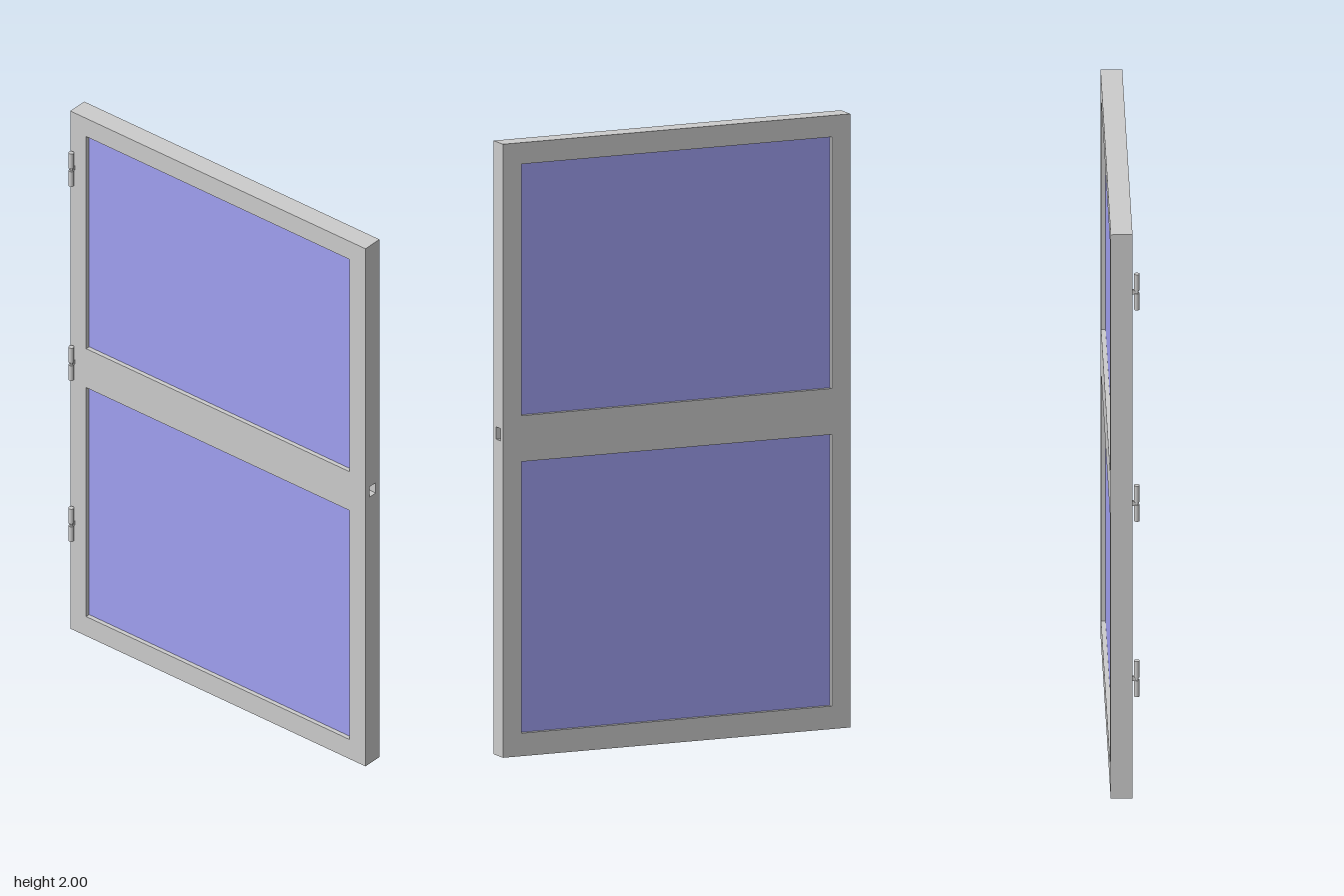
import * as THREE from 'three';

const X0 = -0.025, X1 = 0.045, Z = 0.616, H = 2;

export function createModel() {
  const door = new THREE.Group();
  door.name = 'door';
  const grey = new THREE.MeshStandardMaterial({ color: 0xcccccc });
  const blue = new THREE.MeshStandardMaterial({ color: 0xa0a0f2 });

  const add = (parent, name, geometry, material = grey) => {
    const mesh = new THREE.Mesh(geometry, material);
    mesh.name = name;
    parent.add(mesh);
    return mesh;
  };
  // Box given by its minimum and maximum on each axis
  const box = (parent, name, [x0, x1], [y0, y1], [z0, z1], material) => {
    const mesh = add(parent, name, new THREE.BoxGeometry(x1 - x0, y1 - y0, z1 - z0), material);
    mesh.position.set((x0 + x1) / 2, (y0 + y1) / 2, (z0 + z1) / 2);
    return mesh;
  };
  const rectangle = (PathType, a0, a1, b0, b1) => new PathType([
    new THREE.Vector2(a0, b0), new THREE.Vector2(a1, b0),
    new THREE.Vector2(a1, b1), new THREE.Vector2(a0, b1),
  ]);

  // Frame with two window openings; its front edge is left short for the latch strip
  const strip = 0.03, inner = 0.55;
  const windows = [[0.075, 0.96], [1.11, 1.93]];
  const outline = rectangle(THREE.Shape, -Z + strip, Z, 0, H);
  for (const [y0, y1] of windows) outline.holes.push(rectangle(THREE.Path, -inner, inner, y0, y1));
  const frame = add(door, 'frame', new THREE.ExtrudeGeometry(outline, { depth: X1 - X0, bevelEnabled: false }));
  frame.rotation.y = Math.PI / 2;
  frame.position.x = X0;

  // Front edge strip with the latch pocket cut through it
  const edge = rectangle(THREE.Shape, X0, X1, 0, H);
  edge.holes.push(rectangle(THREE.Path, -0.006, 0.026, 1.03, 1.07));
  const edgeMesh = add(door, 'latchEdge', new THREE.ExtrudeGeometry(edge, { depth: strip, bevelEnabled: false }));
  edgeMesh.position.z = Z - strip;

  // Panes, slightly recessed on both sides
  windows.forEach(([y0, y1], i) =>
    box(door, i ? 'upperPane' : 'lowerPane', [-0.01, 0.03], [y0, y1], [-inner, inner], blue));

  // Hinges: two knuckles on a pin, joined to the frame by a small bracket
  for (const y of [0.418, 1.04, 1.79]) {
    const hinge = new THREE.Group();
    hinge.name = 'hinge';
    hinge.position.set(-0.039, y, -0.6);
    for (const side of [-1, 1]) {
      const knuckle = add(hinge, 'knuckle', new THREE.CylinderGeometry(0.009, 0.009, 0.058, 12));
      knuckle.position.y = side * 0.034;
    }
    add(hinge, 'pin', new THREE.CylinderGeometry(0.005, 0.005, 0.1, 10));
    box(hinge, 'bracket', [0, 0.016], [-0.008, 0.008], [-0.004, 0.004]);
    door.add(hinge);
  }
  return door;
}
